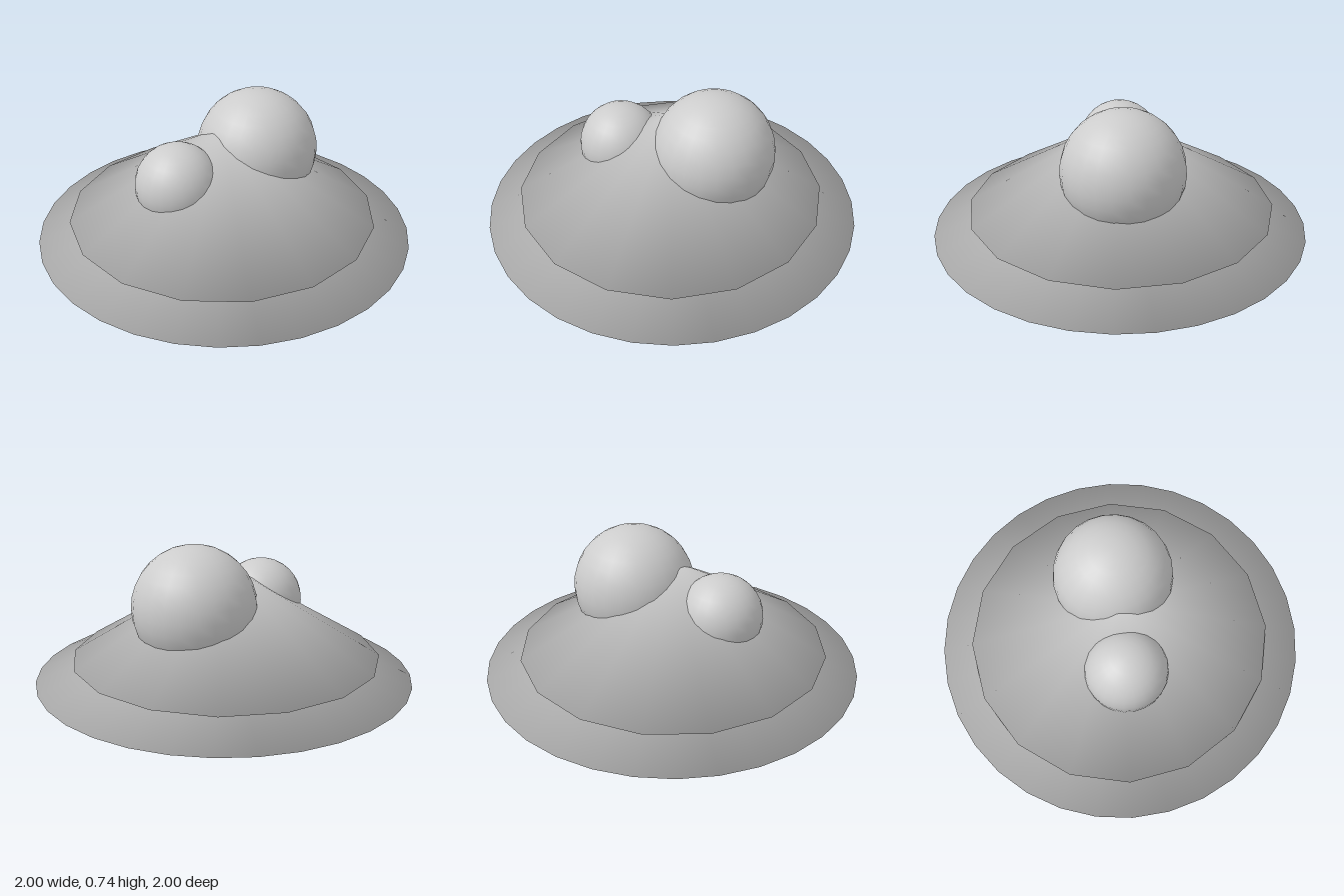
import * as THREE from 'three';

// Closed cone with normals blended around the rim: apex up, ring of `sides`
// corners, flat underside. `dip` is how far the rim normals lean downward.
function softCone(radius, height, sides, dip) {
  const pos = [0, height, 0];
  const nor = [0, 1, 0];
  const index = [];
  const out = Math.sqrt(1 - dip * dip);
  for (let i = 0; i < sides; i++) {
    const a = (i / sides) * Math.PI * 2;
    const s = Math.sin(a), c = Math.cos(a);
    pos.push(radius * s, 0, radius * c);
    nor.push(out * s, -dip, out * c);
    index.push(0, 1 + i, 1 + ((i + 1) % sides));
    if (i > 1) index.push(1, 1 + i, i); // underside fan
  }
  const g = new THREE.BufferGeometry();
  g.setAttribute('position', new THREE.Float32BufferAttribute(pos, 3));
  g.setAttribute('normal', new THREE.Float32BufferAttribute(nor, 3));
  g.setIndex(index);
  return g;
}

export function createModel() {
  const grey = new THREE.MeshStandardMaterial({ color: 0xcccccc });
  grey.name = 'light grey';
  const model = new THREE.Group();
  model.name = 'moundWithDomes';

  const add = (name, geometry, x, y, z) => {
    const mesh = new THREE.Mesh(geometry, grey);
    mesh.name = name;
    mesh.position.set(x, y, z);
    model.add(mesh);
  };

  // Two stacked cones
  add('baseCone', softCone(1, 0.41, 32, 0.18), 0, 0, 0);
  add('upperCone', softCone(0.82, 0.493, 16, 0.25), -0.011, 0.107, 0);

  // Spheres sunk into the slope
  add('largeSphere', new THREE.SphereGeometry(0.322, 24, 16), 0.198, 0.418, -0.107);
  add('smallSphere', new THREE.SphereGeometry(0.22, 24, 16), -0.262, 0.358, 0.122);

  return model;
}
